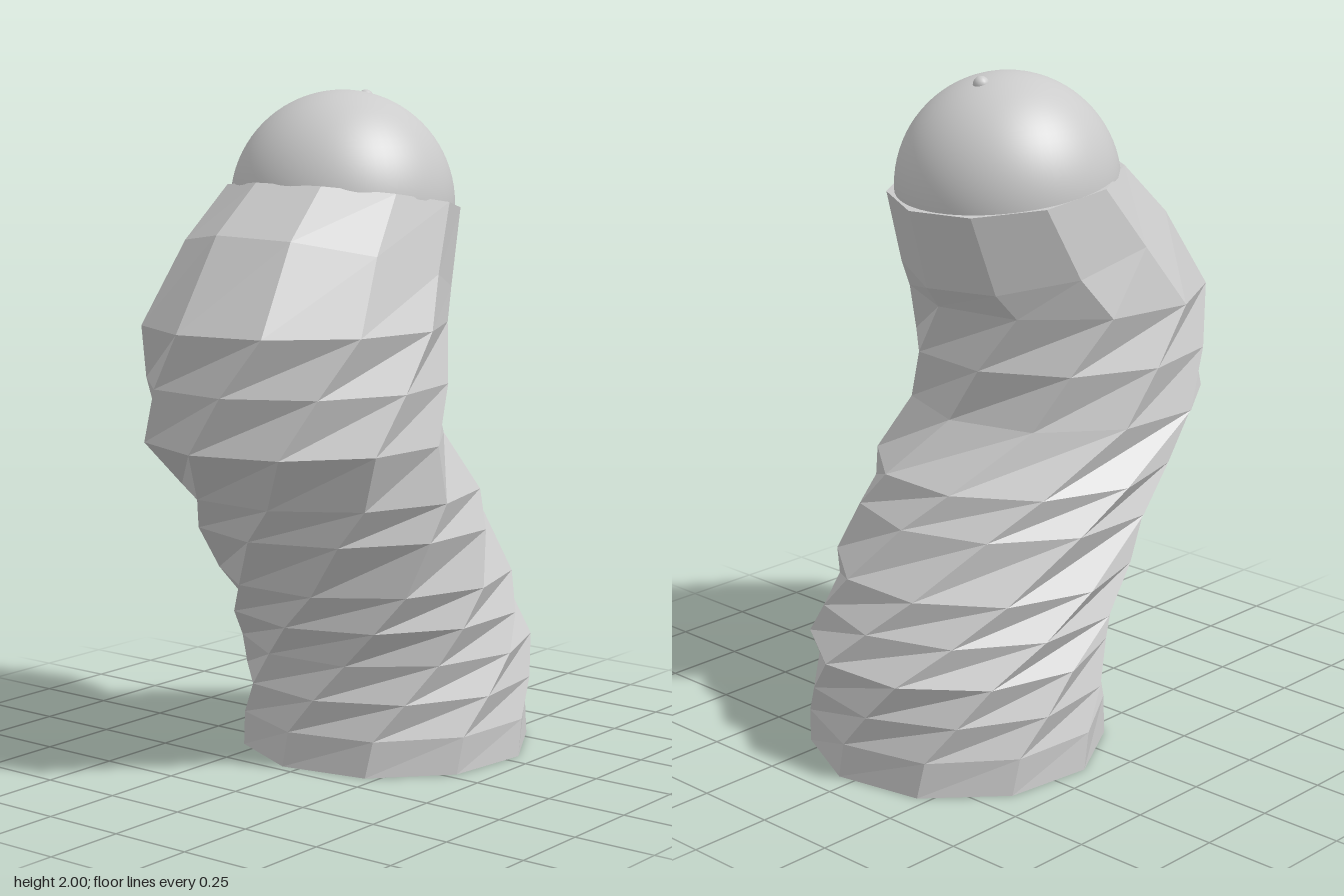
import * as THREE from 'three';

const SIDES = 10;

export function createModel() {
  const model = new THREE.Group();
  const faceted = new THREE.MeshStandardMaterial({ color: 0xcccccc, flatShading: true });
  const smooth = new THREE.MeshStandardMaterial({ color: 0xcccccc });

  // Cross-sections of the column: height, centre z, radius, twist in degrees, tilt (rise per unit z)
  const rings = [
    [0, -0.22, 0.445, -151, 0],
    [0.11, -0.22, 0.445, -148, 0],
    [0.22, -0.22, 0.445, -136, 0],
    [0.333, -0.22, 0.445, -123, 0],
    [0.444, -0.16, 0.445, -107, 0],
    [0.556, -0.11, 0.445, -91, 0],
    [0.722, -0.005, 0.445, -72, 0],
    [0.833, 0.06, 0.445, -57, 0],
    [1, 0.22, 0.445, -39, 0],
    [1.167, 0.22, 0.445, -25, 0],
    [1.333, 0.22, 0.445, -9, 0],
    [1.5, 0.11, 0.39, -9, 0.26],
    [1.69, -0.01, 0.345, -9, 0.15],
  ];

  const positions = [];
  const index = [];
  for (const [y, cz, r, twist, tilt] of rings) {
    for (let i = 0; i < SIDES; i++) {
      const a = THREE.MathUtils.degToRad(twist + (i * 360) / SIDES);
      const z = r * Math.cos(a);
      positions.push(r * Math.sin(a), y + z * tilt, cz + z);
    }
  }
  // Side facets between neighbouring rings
  for (let k = 0; k < rings.length - 1; k++) {
    for (let i = 0; i < SIDES; i++) {
      const j = (i + 1) % SIDES;
      const a = k * SIDES + i, b = k * SIDES + j;
      index.push(a, b, b + SIDES, a, b + SIDES, a + SIDES);
    }
  }
  // Flat base and tilted top cap
  const top = (rings.length - 1) * SIDES;
  for (let i = 1; i < SIDES - 1; i++) {
    index.push(0, i + 1, i);
    index.push(top, top + i, top + i + 1);
  }
  const geometry = new THREE.BufferGeometry();
  geometry.setAttribute('position', new THREE.Float32BufferAttribute(positions, 3));
  geometry.setIndex(index);
  geometry.computeVertexNormals();
  const column = new THREE.Mesh(geometry, faceted);
  column.name = 'twistedColumn';
  model.add(column);

  // Smooth ball seated in the top of the column
  const dome = new THREE.Mesh(new THREE.SphereGeometry(0.33, 64, 40), smooth);
  dome.name = 'dome';
  dome.position.set(0, 1.67, 0);
  model.add(dome);

  // Tiny bump behind the crown of the dome
  const bump = new THREE.Mesh(new THREE.SphereGeometry(0.024, 16, 12), smooth);
  bump.name = 'bump';
  bump.position.set(0, 1.975, -0.11);
  model.add(bump);

  return model;
}
